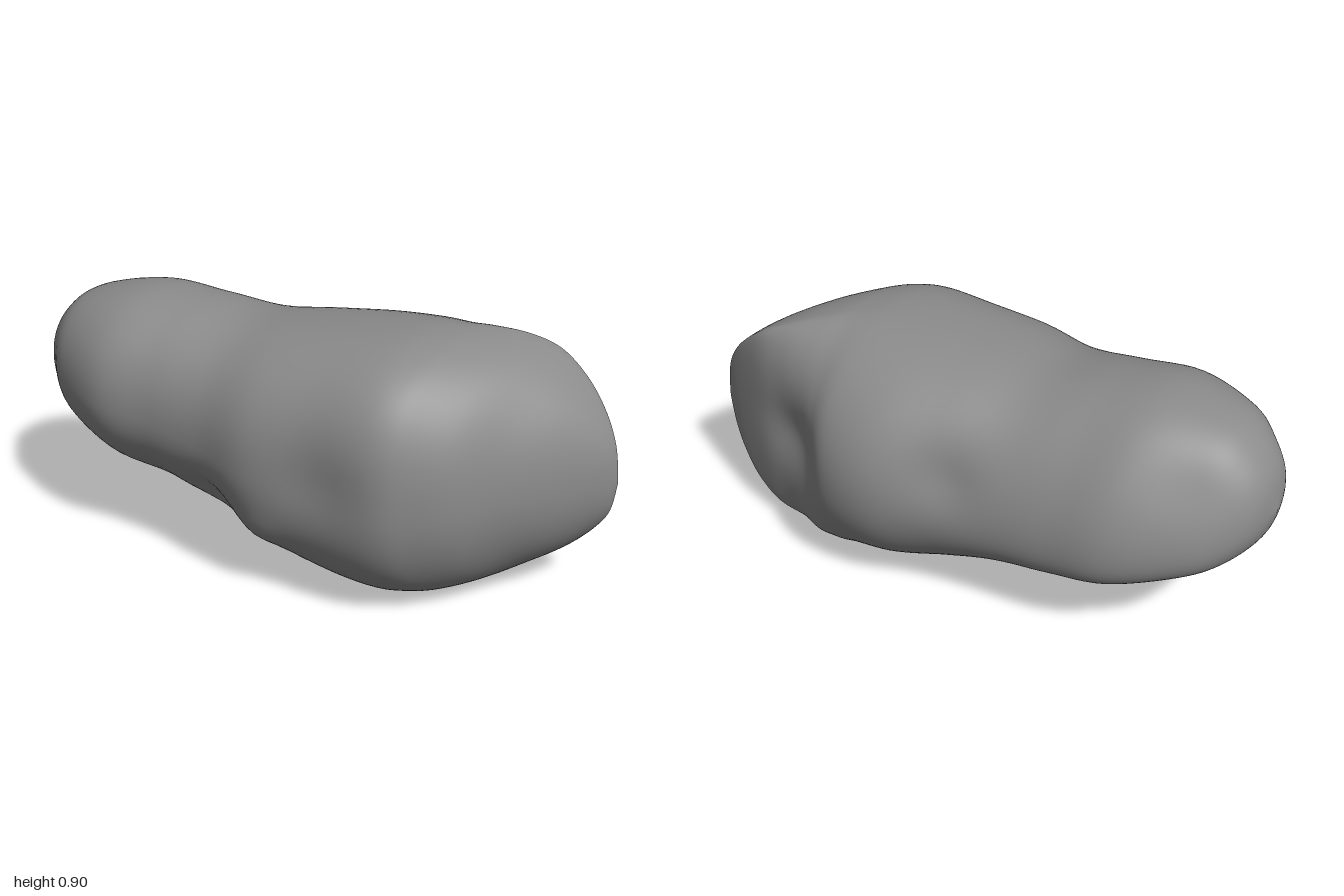
import * as THREE from 'three';
import { toCreasedNormals } from 'three/addons/utils/BufferGeometryUtils.js';

// Cross-sections along x:
// [x, bottom, top, back z, front z, z of the crest, sag of the back side, front roundness]
const SECTIONS = [
  [-1.0, 0.58, 0.58, 0.10, 0.10, 0.10, 0.0, 0.9],
  [-0.97, 0.47, 0.70, -0.02, 0.22, 0.11, 0.02, 0.9],
  [-0.9, 0.38, 0.79, -0.12, 0.30, 0.12, 0.06, 0.9],
  [-0.8, 0.32, 0.85, -0.20, 0.38, 0.12, 0.09, 0.9],
  [-0.6, 0.245, 0.89, -0.30, 0.45, 0.10, 0.11, 0.9],
  [-0.4, 0.20, 0.875, -0.33, 0.43, 0.08, 0.10, 0.9],
  [-0.2, 0.15, 0.85, -0.36, 0.43, 0.06, 0.06, 0.88],
  [0.0, 0.08, 0.87, -0.41, 0.465, 0.03, 0.02, 0.84],
  [0.2, 0.02, 0.89, -0.475, 0.445, 0.01, 0.0, 0.8],
  [0.37, 0.0, 0.90, -0.475, 0.435, -0.02, 0.0, 0.77],
  [0.47, 0.0, 0.895, -0.43, 0.415, -0.07, 0.0, 0.77],
  [0.55, 0.0, 0.885, -0.39, 0.37, -0.14, 0.0, 0.8],
  [0.65, 0.025, 0.86, -0.35, 0.29, -0.22, 0.0, 0.85],
  [0.75, 0.07, 0.815, -0.32, 0.16, -0.27, 0.0, 0.9],
  [0.85, 0.14, 0.735, -0.285, 0.03, -0.27, 0.0, 0.9],
  [0.93, 0.225, 0.64, -0.255, -0.09, -0.248, 0.0, 0.9],
  [0.98, 0.31, 0.54, -0.23, -0.17, -0.227, 0.0, 0.9],
  [1.0, 0.42, 0.42, -0.22, -0.22, -0.22, 0.0, 0.9],
];

// Worn hollows (positive depth) and bulges (negative): [x, y, z, radius, depth]
const HOLLOWS = [
  [-0.2, 0.29, 0.38, 0.12, 0.03],
  [-0.45, 0.28, 0.36, 0.14, 0.015],
  [0.02, 0.26, 0.38, 0.10, -0.02],
  [0.27, 0.48, 0.45, 0.18, 0.02],
  [-0.05, 0.58, -0.38, 0.14, 0.03],
  [-0.8, 0.7, -0.12, 0.2, 0.025],
  [-0.5, 0.8, -0.18, 0.25, 0.015],
  [0.56, 0.48, -0.37, 0.19, 0.05],
  [0.5, 0.1, -0.33, 0.14, -0.035],
];

const ROWS_PER_SECTION = 6;
const SIDES = 96;

// Smooth interpolation through one column of the section list
function column(k, u) {
  const at = i => SECTIONS[Math.max(0, Math.min(SECTIONS.length - 1, i))][k];
  const i = Math.min(Math.floor(u), SECTIONS.length - 2);
  const t = u - i, a = at(i), b = at(i + 1);
  const ma = (b - at(i - 1)) / 2, mb = (at(i + 2) - a) / 2;
  const t2 = t * t, t3 = t2 * t;
  return a * (2 * t3 - 3 * t2 + 1) + ma * (t3 - 2 * t2 + t) + b * (3 * t2 - 2 * t3) + mb * (t3 - t2);
}

const signedPower = (v, e) => Math.sign(v) * Math.pow(Math.abs(v), e);

function stonePoint(u, angle) {
  const [x, bottom, top, back, front, crest, sag, roundness] = SECTIONS[0].map((_, k) => column(k, u));
  const isFront = Math.cos(angle) > 0;
  // The front is fuller above than below
  const frontPower = Math.sin(angle) > 0 ? roundness : roundness + 0.12;
  const power = isFront ? frontPower : 0.97;
  const c = signedPower(Math.cos(angle), power), s = signedPower(Math.sin(angle), power);
  const middle = (bottom + top) / 2;
  const p = new THREE.Vector3(
    x,
    middle + s * Math.max(0, top - bottom) / 2 + sag * Math.min(c, 0) * (1 - s * s),
    crest + c * Math.max(0, isFront ? front - crest : crest - back)
  );
  const inward = new THREE.Vector3(0, middle - p.y, (back + front) / 2 - p.z);
  if (inward.length() < 0.02) return p;
  inward.normalize();
  let depth = 0;
  for (const [hx, hy, hz, r, d] of HOLLOWS) {
    const q = ((p.x - hx) ** 2 + (p.y - hy) ** 2 + (p.z - hz) ** 2) / (r * r);
    depth += d * Math.exp(-q * 1.5);
  }
  return p.addScaledVector(inward, depth);
}

function stoneGeometry() {
  const rows = (SECTIONS.length - 1) * ROWS_PER_SECTION;
  const positions = [], index = [];
  for (let i = 0; i <= rows; i++) {
    for (let j = 0; j < SIDES; j++) {
      const p = stonePoint(i / ROWS_PER_SECTION, (j / SIDES) * Math.PI * 2);
      positions.push(p.x, Math.max(0, p.y), p.z);
    }
  }
  for (let i = 0; i < rows; i++) {
    for (let j = 0; j < SIDES; j++) {
      const a = i * SIDES + j, b = i * SIDES + ((j + 1) % SIDES);
      if (i < rows - 1) index.push(a, a + SIDES, b + SIDES);
      if (i > 0) index.push(a, b + SIDES, b);
    }
  }
  const geometry = new THREE.BufferGeometry();
  geometry.setAttribute('position', new THREE.Float32BufferAttribute(positions, 3));
  geometry.setIndex(index);
  return toCreasedNormals(geometry, 0.7);
}

export function createModel() {
  const group = new THREE.Group();
  group.name = 'rock';
  const stone = new THREE.MeshStandardMaterial({ color: 0x8a8a8a });
  stone.name = 'stone grey';
  const boulder = new THREE.Mesh(stoneGeometry(), stone);
  boulder.name = 'boulder';
  group.add(boulder);
  return group;
}
